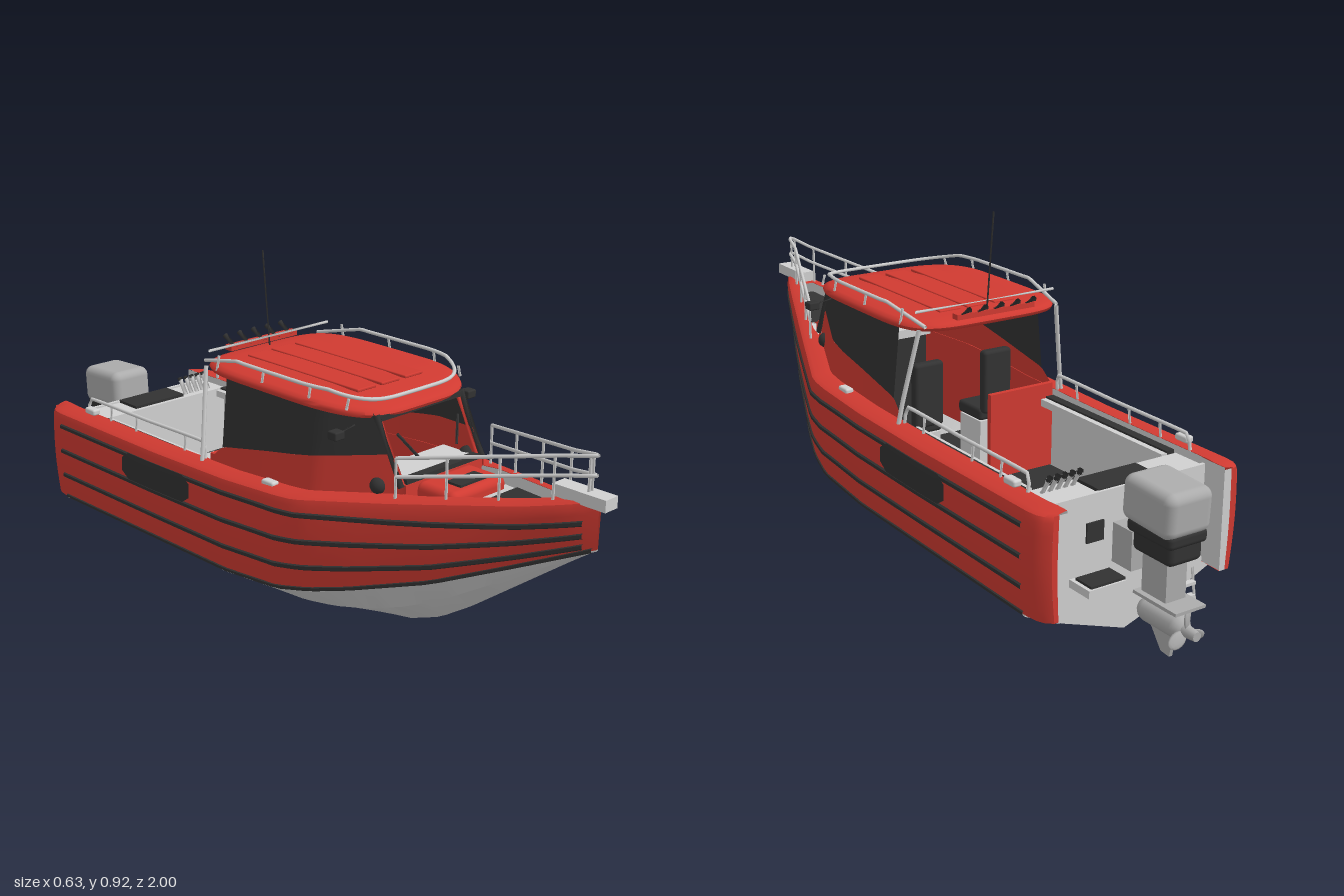
import * as THREE from 'three';
import { toCreasedNormals } from 'three/addons/utils/BufferGeometryUtils.js';
import { RoundedBoxGeometry } from 'three/addons/geometries/RoundedBoxGeometry.js';

const mat = (name, color) => Object.assign(new THREE.MeshStandardMaterial({ color, side: THREE.DoubleSide }), { name });
const lerp = THREE.MathUtils.lerp;

// Piecewise-linear lookup over [z, value] pairs
const table = (...p) => (z) => {
  if (z <= p[0][0]) return p[0][1];
  for (let i = 1; i < p.length; i++)
    if (z <= p[i][0]) return lerp(p[i - 1][1], p[i][1], (z - p[i - 1][0]) / (p[i][0] - p[i - 1][0]));
  return p[p.length - 1][1];
};
const sheerX = table([-0.815, 0.272], [-0.8, 0.29], [-0.78, 0.3], [-0.75, 0.304], [0.2, 0.305], [0.27, 0.298], [0.9, 0.045], [0.97, 0.004]);
const sheerY = table([-0.8, 0.385], [-0.3, 0.385], [0, 0.392], [0.25, 0.41], [0.5, 0.445], [0.8, 0.495], [0.97, 0.535]);
const chineX = table([-0.815, 0.264], [-0.8, 0.281], [-0.78, 0.29], [-0.75, 0.295], [0.2, 0.295], [0.3, 0.274], [0.4, 0.238], [0.6, 0.155], [0.8, 0.065], [0.97, 0.002]);
const chineY = table([-0.8, 0.118], [0, 0.125], [0.2, 0.145], [0.3, 0.165], [0.4, 0.19], [0.6, 0.25], [0.8, 0.335], [0.97, 0.412]);
const keelY = table([-0.74, 0.002], [0.2, 0.002], [0.3, 0.011], [0.4, 0.03], [0.5, 0.07], [0.6, 0.135], [0.7, 0.21], [0.8, 0.285], [0.9, 0.36], [0.97, 0.41]);
const deckWidth = table([0.48, 0.065], [0.56, 0.045]);
const innerX = (z) => z < -0.75 ? 0.235 : Math.max(sheerX(z) - deckWidth(z), 0.001);
const range = (a, b, n) => Array.from({ length: n + 1 }, (_, i) => lerp(a, b, i / n));

// Point on the hull side, t = 0 at the chine and 1 at the gunwale
const side = (z, t) => [
  lerp(chineX(z), sheerX(z), t) + 0.006 * Math.sin(Math.PI * t) * Math.min(1, chineX(z) * 8),
  lerp(chineY(z), sheerY(z) - 0.02, t), z];

// Surface through rows of points; mirrored rows are reversed to keep faces outward
function loft(rows, mirror = false, crease = 0.5) {
  const pos = [], idx = [], n = rows[0].length;
  rows.forEach((r) => r.forEach(([x, y, z]) => pos.push(mirror ? -x : x, y, z)));
  for (let i = 0; i < rows.length - 1; i++)
    for (let j = 0; j < n - 1; j++) {
      const a = i * n + j, b = a + n, c = b + 1, d = a + 1;
      idx.push(...(mirror ? [a, c, d, a, b, c] : [a, d, c, a, c, b]));
    }
  const g = new THREE.BufferGeometry();
  g.setAttribute('position', new THREE.Float32BufferAttribute(pos, 3));
  g.setIndex(idx);
  return toCreasedNormals(g, crease);
}

export function createModel() {
  const boat = new THREE.Group();
  boat.name = 'boat';
  const red = mat('red paint', 0xd03a31), dark = mat('black rubber', 0x323232);
  const alloy = mat('light alloy', 0xd0d0d0), motor = mat('engine grey', 0xacacac);

  const add = (name, geo, m, x = 0, y = 0, z = 0) => {
    const mesh = new THREE.Mesh(geo, m);
    mesh.name = name;
    mesh.position.set(x, y, z);
    boat.add(mesh);
    return mesh;
  };
  const box = (name, m, w, h, d, x, y, z) => add(name, new THREE.BoxGeometry(w, h, d), m, x, y, z);
  const soft = (name, m, w, h, d, x, y, z, r = 0.01) => add(name, new RoundedBoxGeometry(w, h, d, 3, r), m, x, y, z);
  const tube = (name, m, r, ...pts) => {
    const c = new THREE.CatmullRomCurve3(pts.map((p) => new THREE.Vector3(...p)), false, 'catmullrom', 0.15);
    return add(name, new THREE.TubeGeometry(c, pts.length > 2 ? pts.length * 5 : 1, r, 6), m);
  };
  const both = (name, rows, m, crease) => [false, true].forEach((k) => add(name, loft(rows, k, crease), m));

  // Hull bottom, sides with gunwale
  const zs = [-0.815, -0.8, -0.78, -0.75, -0.74, -0.3, 0, ...range(0.1, 0.97, 29)];
  both('hullBottom', zs.filter((z) => z >= -0.74).map((z) => {
    const k = keelY(z), c = chineY(z), x = chineX(z), f = lerp(0.55, 0.42, Math.max(0, z));
    return [[0, k, z], [x * 0.63, lerp(k, c, f), z], [x * 0.66, lerp(k, c, f), z], [x, c - 0.004, z], [x, c, z]];
  }), alloy, 0.3);
  both('hullSide', zs.map((z) => [
    ...range(0, 1, 8).map((t) => side(z, t)),
    [Math.max(sheerX(z) - 0.005, 0.002), sheerY(z) - 0.006, z],
    [Math.max(sheerX(z) - 0.016, 0.002), sheerY(z), z],
    [innerX(z), sheerY(z) + 0.004, z]]), red, 0.7);

  // Inner faces of the bulwark: alloy in the cockpit and bow, red in the cabin
  const inner = (z0, z1, m) => both('innerBulwark', range(z0, z1, 14).map((z) => [[innerX(z), sheerY(z) + 0.003, z],
    [innerX(z), z < 0.48 ? Math.max(0.12, chineY(z)) : Math.max(sheerY(z) - 0.06, chineY(z)), z]]), m);
  inner(-0.815, -0.12, alloy);
  inner(-0.12, 0.48, red);
  inner(0.48, 0.96, alloy);

  // Stern ends of the side wings, red rim around an alloy face
  const wingEnd = (m, f0, f1) => both('sternWingEnd', [f0, f1].map((f) => range(0, 1.07, 6).map((t) => {
    const p = side(-0.815, t);
    return [lerp(0.235, p[0], f), p[1], -0.815];
  })), m);
  wingEnd(red, 0.6, 1);
  wingEnd(alloy, 0, 0.6);
  both('sternWingFloor', [-0.815, -0.73].map((z) => [[innerX(z), 0.118, z], [chineX(z), 0.118, z]]), red);

  // Raised rubber strips along the hull
  const strip = (t0, t1, z0, z1, h, d) => range(z0, z1, 50).map((z) => {
    const [x, y] = side(z, lerp(t0, t1, Math.max(0, z) ** 2));
    return [[x, y - h, z], [x + d, y - h * 0.6, z], [x + d, y + h * 0.6, z], [x, y + h, z]];
  });
  [[0.91, 0.65], [0.6, 0.36], [0.29, 0.12]].forEach(([a, b]) => both('rubStrip', strip(a, b, -0.74, 0.94, 0.0075, 0.005), dark));
  both('chineStrip', strip(0.01, 0.01, -0.74, 0.96, 0.006, 0.004), dark);
  both('sidePatch', range(-0.43, -0.13, 10).map((z, i) => {
    const e = i === 0 || i === 10 ? 0.08 : 0;
    return range(0.63 + e, 0.95 - e, 4).map((t) => { const p = side(z, t); return [p[0] + 0.007, p[1], z]; });
  }), dark);

  // Transom
  const outline = new THREE.Shape([[0, 0.002], [0.186, 0.066], [0.295, 0.114], [0.295, 0.13], [0.24, 0.13], [0.24, 0.375],
    [-0.24, 0.375], [-0.24, 0.13], [-0.295, 0.13], [-0.295, 0.114], [-0.186, 0.066]].map((p) => new THREE.Vector2(...p)));
  add('transom', new THREE.ExtrudeGeometry(outline, { depth: 0.01, bevelEnabled: false }), alloy, 0, 0, -0.745);
  box('transomLocker', alloy, 0.47, 0.2, 0.1, 0, 0.27, -0.69);
  box('lockerTop', dark, 0.18, 0.008, 0.085, -0.005, 0.374, -0.695);
  for (const s of [-1, 1]) {
    box('swimPlatform', alloy, 0.11, 0.02, 0.08, s * 0.115, 0.165, -0.78);
    box('platformMat', dark, 0.1, 0.006, 0.06, s * 0.11, 0.178, -0.785);
    box('transomHatch', dark, 0.05, 0.05, 0.006, s * 0.1, 0.28, -0.747);
  }
  for (const x of [-0.15, -0.09]) tube('ladderRail', alloy, 0.004, [x, 0.16, -0.81], [x, 0.07, -0.825]);
  for (const y of [0.08, 0.115]) box('ladderRung', alloy, 0.06, 0.008, 0.016, -0.12, y, -0.82);
  box('transducer', dark, 0.012, 0.02, 0.012, -0.125, 0.05, -0.75);
  for (let i = 0; i < 5; i++) {
    const x = 0.105 + i * 0.022;
    tube('sternRodHolder', alloy, 0.008, [x, 0.36, -0.66], [x, 0.41, -0.69]);
    tube('rodHolderCap', dark, 0.0085, [x, 0.408, -0.689], [x, 0.416, -0.694]);
  }

  // Cockpit
  box('cockpitFloor', dark, 0.47, 0.02, 0.89, 0, 0.16, -0.205);
  for (const [x, w, z0, z1] of [[-0.15, 0.055, -0.62, -0.32], [0.15, 0.055, -0.62, -0.32], [-0.045, 0.09, -0.66, -0.28]])
    box('floorPanel', alloy, w, 0.008, z1 - z0, x, 0.173, (z0 + z1) / 2);
  for (const z of [-0.27, -0.51]) add('floorCap', new THREE.CylinderGeometry(0.015, 0.015, 0.008, 16), alloy, 0.06, 0.173, z);
  for (const s of [-1, 1]) {
    box('sideBolster', dark, 0.025, 0.03, 0.5, s * 0.226, 0.36, -0.38);
    box('sideLedge', alloy, 0.018, 0.02, 0.5, s * 0.206, 0.36, -0.38);
    // Seats
    box('seatBase', alloy, 0.09, 0.13, 0.1, s * 0.11, 0.235, 0.02);
    soft('seatCushion', dark, 0.1, 0.035, 0.11, s * 0.11, 0.32, 0.02);
    soft('seatBack', dark, 0.09, 0.18, 0.03, s * 0.11, 0.415, -0.035);
    // Aft rails and cleats
    tube('aftRail', alloy, 0.005, [s * 0.245, 0.385, -0.68], [s * 0.24, 0.43, -0.67], [s * 0.24, 0.432, -0.4], [s * 0.24, 0.436, -0.15], [s * 0.245, 0.39, -0.14]);
    for (const z of [-0.23, -0.45, -0.57]) tube('aftRailPost', alloy, 0.004, [s * 0.245, 0.385, z], [s * 0.24, 0.432, z]);
    for (const z of [-0.64, 0.14]) soft('cleat', alloy, 0.025, 0.018, 0.045, s * 0.26, 0.405, z, 0.006);
    tube('roofStrut', alloy, 0.006, [s * 0.26, 0.39, -0.135], [s * 0.25, 0.45, -0.14], [s * 0.215, 0.64, -0.165]);
  }
  box('bulkhead', red, 0.205, 0.24, 0.015, -0.135, 0.29, -0.12);
  box('console', alloy, 0.3, 0.025, 0.12, 0, 0.455, 0.42);
  box('consoleFront', dark, 0.28, 0.25, 0.02, 0, 0.32, 0.38);

  // Foredeck with hatch, anchor well and bow fitting
  const deck = (name, m, z0, z1, drop) => both(name, range(z0, z1, 6).map((z) => [[innerX(z), sheerY(z) - drop, z], [0, sheerY(z) - drop, z]]), m);
  deck('foredeck', alloy, 0.48, 0.65, 0.03);
  deck('anchorWell', dark, 0.65, 0.85, 0.025);
  deck('bowDeck', red, 0.85, 0.97, -0.003);
  soft('foredeckDome', red, 0.2, 0.06, 0.13, 0, 0.438, 0.555, 0.02);
  box('foredeckHatch', dark, 0.1, 0.008, 0.045, 0, 0.47, 0.575);
  box('bowPlate', alloy, 0.045, 0.03, 0.15, 0, 0.532, 0.925);

  // Bow rail
  const railX = (z) => Math.max(sheerX(z) - 0.03, 0.006), railY = (z) => 0.55 + (z - 0.5) * 0.19;
  for (const s of [-1, 1]) {
    for (const drop of [0, 0.048])
      tube('bowRail', alloy, 0.005, ...range(0.5, 0.95, 6).map((z) => [s * railX(z), railY(z) - drop, z]), [0, railY(0.955) - drop, 0.955]);
    for (const z of [0.5, 0.62, 0.74, 0.86, 0.94])
      tube('bowRailPost', alloy, 0.004, [s * railX(z), sheerY(z), z], [s * railX(z), railY(z), z]);
  }

  // Cabin walls, side windows and open windscreen frame
  const wallTop = table([0.41, 0.635], [0.5, 0.465]);
  const sill = (z) => Math.min(table([-0.12, 0.4], [-0.075, 0.44], [0, 0.455], [0.1, 0.475], [0.4, 0.53], [0.5, 0.55])(z), wallTop(z));
  const wall = (y, z) => [innerX(z) + 0.003 - 0.025 * (y - sheerY(z)) / (0.64 - sheerY(z)), y, z];
  both('cabinSide', range(-0.12, 0.5, 31).map((z) => range(0, 1, 3).map((t) => wall(lerp(sheerY(z), sill(z), t), z))), red);
  both('sideWindow', range(-0.075, 0.47, 25).map((z) => range(0, 1, 3).map((t) => wall(lerp(sill(z), wallTop(z), t), z))), dark);
  box('windscreenSill', red, 0.28, 0.07, 0.012, 0, 0.435, 0.495);
  box('windscreenBase', dark, 0.27, 0.012, 0.025, 0, 0.476, 0.487);
  box('windscreenHeader', dark, 0.3, 0.014, 0.02, 0, 0.622, 0.41);
  for (const s of [-1, 1]) {
    tube('windscreenPillar', dark, 0.009, [s * 0.15, 0.465, 0.495], [s * 0.153, 0.63, 0.41]);
    tube('pillarTrim', red, 0.006, [s * 0.137, 0.465, 0.49], [s * 0.141, 0.63, 0.405]);
    tube('wiper', dark, 0.004, [s * 0.07, 0.52, 0.475], [s * 0.11, 0.58, 0.44]);
    soft('sideLamp', dark, 0.032, 0.022, 0.03, s * 0.24, 0.588, 0.36, 0.004);
    tube('sideLampArm', dark, 0.004, [s * 0.17, 0.6, 0.36], [s * 0.235, 0.59, 0.36]);
    add('porthole', new THREE.SphereGeometry(0.022, 16, 10), dark, s * (innerX(0.43) - 0.006), 0.457, 0.43);
  }

  // Roof: rings of a rounded plan, drooping toward the front
  const plan = (a, s, y) => {
    const c = Math.cos(a), d = Math.sin(a), p = 0.4;
    const z = 0.115 + s * 0.31 * Math.sign(d) * Math.abs(d) ** p;
    const front = Math.max(0, (z - 0.2) / 0.23) ** 2;
    return [s * (1 - 0.2 * front) * 0.243 * Math.sign(c) * Math.abs(c) ** p, y - 0.016 * front, z];
  };
  const ring = ([s, y]) => range(0, Math.PI * 2, 72).map((a) => plan(a, s, y));
  add('roof', loft([[0, 0.661], [0.4, 0.661], [0.8, 0.659], [0.93, 0.656], [0.985, 0.651], [1, 0.643], [0.985, 0.634], [0.9, 0.628], [0, 0.63]].map(ring), false, 0.9), red);
  for (const x of [-0.085, 0, 0.085]) soft('roofPanel', red, 0.065, 0.008, 0.42, x, 0.66, 0.1, 0.003);

  // Roof rail, rod rack and aerial
  const railDrop = (z) => 0.684 - Math.max(0, z - 0.3) * 0.22;
  const rail = range(-0.18, Math.PI + 0.18, 40).map((a) => { const p = plan(a, 0.93, 0); return [p[0], railDrop(p[2]), p[2]]; });
  tube('roofRail', alloy, 0.005, [0.205, 0.65, -0.18], ...rail, [-0.205, 0.65, -0.18]);
  tube('roofCrossbar', alloy, 0.004, [-0.215, 0.684, -0.15], [0.215, 0.684, -0.15]);
  for (const s of [-1, 1]) for (const [z, x] of [[-0.1, 0.223], [0.08, 0.226], [0.25, 0.222], [0.36, 0.198]])
    tube('roofRailPost', alloy, 0.004, [s * (x + 0.008), 0.643, z], [s * x, railDrop(z), z]);
  box('rodRack', red, 0.24, 0.014, 0.025, 0, 0.666, -0.185);
  for (let i = -2; i <= 2; i++) tube('rodHolder', dark, 0.008, [i * 0.05, 0.662, -0.175], [i * 0.05, 0.69, -0.222]);
  tube('aerial', dark, 0.0025, [0, 0.65, -0.152], [-0.007, 0.92, -0.17]);

  // Outboard engine
  const cowl = soft('engineCowl', motor, 0.136, 0.114, 0.172, 0, 0.377, -0.878, 0.025);
  cowl.rotation.x = -0.05;
  soft('engineCollar', dark, 0.115, 0.035, 0.155, 0, 0.313, -0.882, 0.012);
  soft('engineMidsection', dark, 0.1, 0.06, 0.135, 0, 0.28, -0.885, 0.015);
  box('engineLeg', motor, 0.06, 0.13, 0.085, 0, 0.2, -0.88);
  box('engineBracket', motor, 0.09, 0.1, 0.07, 0, 0.24, -0.78);
  box('antiVentPlate', motor, 0.09, 0.008, 0.15, 0, 0.145, -0.9);
  box('lowerLeg', motor, 0.026, 0.06, 0.085, 0, 0.115, -0.88);
  const gear = add('gearcase', new THREE.CapsuleGeometry(0.03, 0.1, 6, 14), motor, 0, 0.09, -0.885);
  gear.rotation.x = Math.PI / 2;
  const fin = new THREE.Shape([[0.83, 0.08], [0.93, 0.08], [0.915, 0.003], [0.885, 0.006]].map((p) => new THREE.Vector2(...p)));
  const skeg = add('skeg', new THREE.ExtrudeGeometry(fin, { depth: 0.01, bevelEnabled: false }), motor, -0.005, 0, 0);
  skeg.rotation.y = Math.PI / 2;
  const hub = add('propellerHub', new THREE.CylinderGeometry(0.018, 0.012, 0.06, 12), motor, 0, 0.09, -0.97);
  hub.rotation.x = Math.PI / 2;
  for (let i = 0; i < 3; i++) {
    const a = i * Math.PI * 2 / 3;
    const blade = add('propellerBlade', new THREE.SphereGeometry(1, 10, 8), motor, Math.sin(a) * 0.032, 0.09 + Math.cos(a) * 0.032, -0.965);
    blade.scale.set(0.018, 0.026, 0.005);
    blade.rotation.set(0, 0.5, -a, 'ZYX');
  }
  return boat;
}
